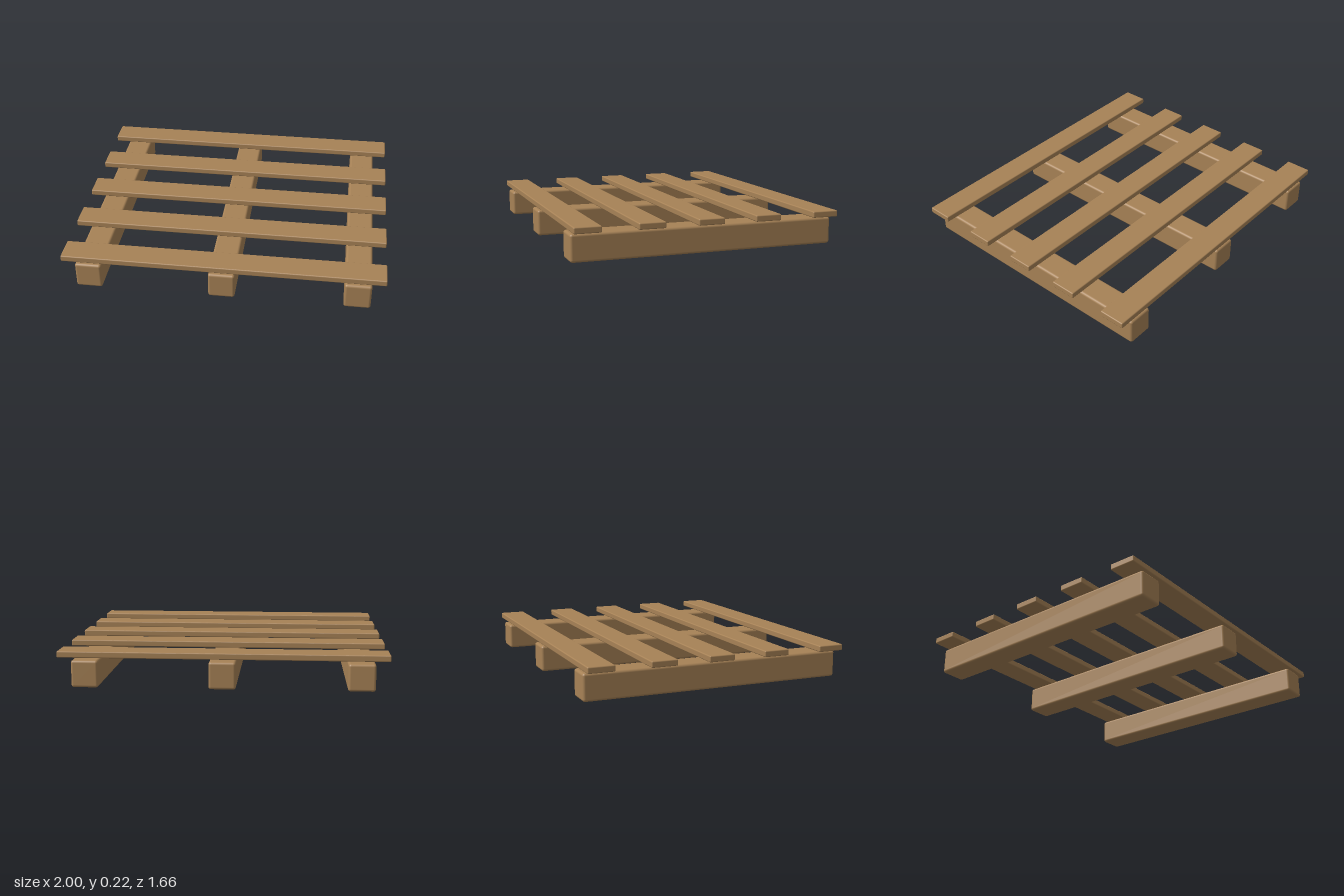
import * as THREE from 'three';
import { RoundedBoxGeometry } from 'three/addons/geometries/RoundedBoxGeometry.js';

export function createModel() {
  const model = new THREE.Group();
  model.name = 'pallet';
  const wood = new THREE.MeshStandardMaterial({ name: 'wood', color: 0xa78256 });

  const add = (name, geometry, x, y, z) => {
    const mesh = new THREE.Mesh(geometry, wood);
    mesh.name = name;
    mesh.position.set(x, y, z);
    model.add(mesh);
  };

  // Three square beams running front to back
  const beam = new RoundedBoxGeometry(0.165, 0.167, 1.665, 3, 0.016);
  [['right', -0.833], ['middle', 0], ['left', 0.833]].forEach(([side, x]) =>
    add(side + 'Beam', beam, x, 0.0835, 0));

  // Five thin deck boards, held slightly above the beams
  const board = new RoundedBoxGeometry(2, 0.039, 0.165, 3, 0.007);
  [-0.75, -0.367, 0, 0.367, 0.75].forEach((z, i) =>
    add('deckBoard' + (i + 1), board, 0, 0.2025, z));

  return model;
}
